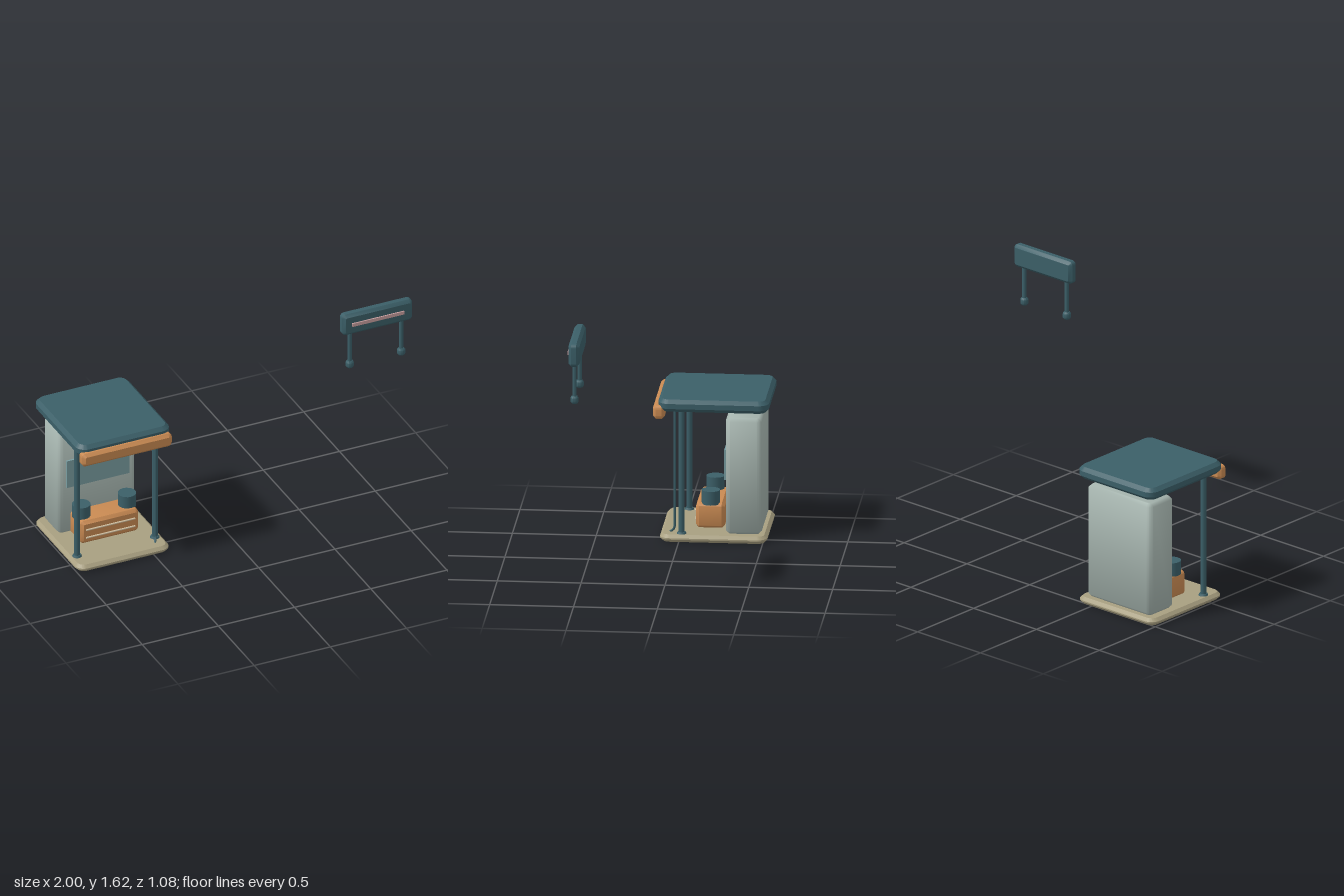
import * as THREE from 'three';
import { toCreasedNormals } from 'three/addons/utils/BufferGeometryUtils.js';

const paint = (name, color) => {
  const m = new THREE.MeshStandardMaterial({ color });
  m.name = name;
  return m;
};

export function createModel() {
  const teal = paint('dark teal', 0x3b5f68);
  const orange = paint('copper orange', 0xc98a52);
  const grey = paint('pale grey green', 0xa6b5af);
  const sand = paint('sand', 0xa89f80);
  const glass = paint('screen teal', 0x7a9ea2);
  const cream = paint('cream', 0xd6c4a4);
  const pink = paint('dusty pink', 0xc9a0a0);

  const model = new THREE.Group();
  model.name = 'kioskAndSign';
  const group = (name) => {
    const g = new THREE.Group();
    g.name = name;
    model.add(g);
    return g;
  };
  const add = (parent, name, geometry, material, x = 0, y = 0, z = 0) => {
    const mesh = new THREE.Mesh(geometry, material);
    mesh.name = name;
    mesh.position.set(x, y, z);
    parent.add(mesh);
    return mesh;
  };

  // Chamfered block with rounded corners, given by its [min, max] on each axis.
  // The rounded outline is extruded along y (upright) or z.
  function block(parent, name, material, [x0, x1], [y0, y1], [z0, z1], o) {
    const { radius, bevel, upright = false, crease = 0.6 } = o;
    const w = x1 - x0;
    const h = upright ? z1 - z0 : y1 - y0;
    const depth = upright ? y1 - y0 : z1 - z0;
    const a = w / 2, b = h / 2, r = radius;
    const s = new THREE.Shape();
    s.moveTo(-a + r, -b);
    s.lineTo(a - r, -b).absarc(a - r, -b + r, r, -Math.PI / 2, 0);
    s.lineTo(a, b - r).absarc(a - r, b - r, r, 0, Math.PI / 2);
    s.lineTo(-a + r, b).absarc(-a + r, b - r, r, Math.PI / 2, Math.PI);
    s.lineTo(-a, -b + r).absarc(-a + r, -b + r, r, Math.PI, Math.PI * 1.5);
    let g = new THREE.ExtrudeGeometry(s, {
      depth: depth - 2 * bevel, curveSegments: 5, bevelSegments: 1,
      bevelSize: bevel, bevelThickness: bevel, bevelOffset: -bevel,
    });
    g.translate(0, 0, -(depth / 2 - bevel));
    if (upright) g.rotateX(-Math.PI / 2);
    g = toCreasedNormals(g, crease);
    return add(parent, name, g, material, (x0 + x1) / 2, (y0 + y1) / 2, (z0 + z1) / 2);
  }

  // Kiosk shell: floor slab, roof, front fascia and rear cabinet
  const kiosk = group('kiosk');
  const cx = -0.695;
  block(kiosk, 'floorSlab', sand, [-1, -0.39], [0, 0.045], [-0.525, 0.115],
    { radius: 0.06, bevel: 0.018, upright: true });
  block(kiosk, 'roof', teal, [-1, -0.39], [0.805, 0.88], [-0.535, 0.125],
    { radius: 0.065, bevel: 0.022, upright: true });
  block(kiosk, 'fascia', orange, [-0.99, -0.4], [0.755, 0.842], [0.085, 0.155],
    { radius: 0.025, bevel: 0.018 });
  block(kiosk, 'cabinet', grey, [-0.95, -0.44], [0.044, 0.76], [-0.49, -0.275],
    { radius: 0.035, bevel: 0.02, upright: true, crease: 1.2 });
  add(kiosk, 'screen', new THREE.BoxGeometry(0.41, 0.185, 0.012), glass, cx, 0.459, -0.269);

  // Posts, post feet, counter drums and ceiling lamps, mirrored about the kiosk's middle
  for (const side of [-1, 1]) {
    const px = cx + side * 0.255;
    add(kiosk, 'post', new THREE.CylinderGeometry(0.018, 0.018, 0.77, 12), teal, px, 0.425, -0.015);
    add(kiosk, 'postFoot', new THREE.CylinderGeometry(0.024, 0.03, 0.012, 12), teal, px, 0.05, -0.015);
    add(kiosk, 'drum', new THREE.CylinderGeometry(0.055, 0.055, 0.085, 20), teal,
      cx + side * 0.15, 0.2475, -0.18);
    add(kiosk, 'ceilingLamp', new THREE.CylinderGeometry(0.045, 0.045, 0.012, 20), cream,
      cx + side * 0.16, 0.802, -0.045);
  }

  // Drain pipe beside the left post, kicked out at the bottom
  const pipe = new THREE.CurvePath();
  const p = [[-0.455, 0.81, 0.028], [-0.455, 0.085, 0.028], [-0.458, 0.06, 0.032], [-0.472, 0.048, 0.055]]
    .map((v) => new THREE.Vector3(...v));
  pipe.add(new THREE.LineCurve3(p[0], p[1]));
  pipe.add(new THREE.QuadraticBezierCurve3(p[1], p[2], p[3]));
  add(kiosk, 'drainPipe', new THREE.TubeGeometry(pipe, 60, 0.007, 8), teal);

  // Counter box with two rails
  block(kiosk, 'counterBox', orange, [-0.885, -0.505], [0.06, 0.212], [-0.265, -0.093],
    { radius: 0.025, bevel: 0.018 });
  for (const y of [0.157, 0.104]) {
    const rail = add(kiosk, 'counterRail', new THREE.CylinderGeometry(0.006, 0.006, 0.32, 8), cream, cx, y, -0.09);
    rail.rotation.z = Math.PI / 2;
  }

  // Separate raised sign on two legs
  const sign = group('sign');
  block(sign, 'signBoard', teal, [0.54, 1], [1.48, 1.622], [0.467, 0.533],
    { radius: 0.025, bevel: 0.018 });
  add(sign, 'signStripe', new THREE.BoxGeometry(0.34, 0.022, 0.009), pink, 0.767, 1.552, 0.5365);
  for (const x of [0.597, 0.935]) {
    add(sign, 'signLeg', new THREE.CylinderGeometry(0.013, 0.013, 0.23, 10), teal, x, 1.375, 0.5);
    const foot = [[0, 1.242], [0.017, 1.242], [0.025, 1.252], [0.025, 1.278], [0.017, 1.288], [0, 1.288]]
      .map(([r, y]) => new THREE.Vector2(r, y));
    add(sign, 'signFoot', toCreasedNormals(new THREE.LatheGeometry(foot, 10), 0.7), teal, x, 0, 0.5);
  }
  return model;
}
